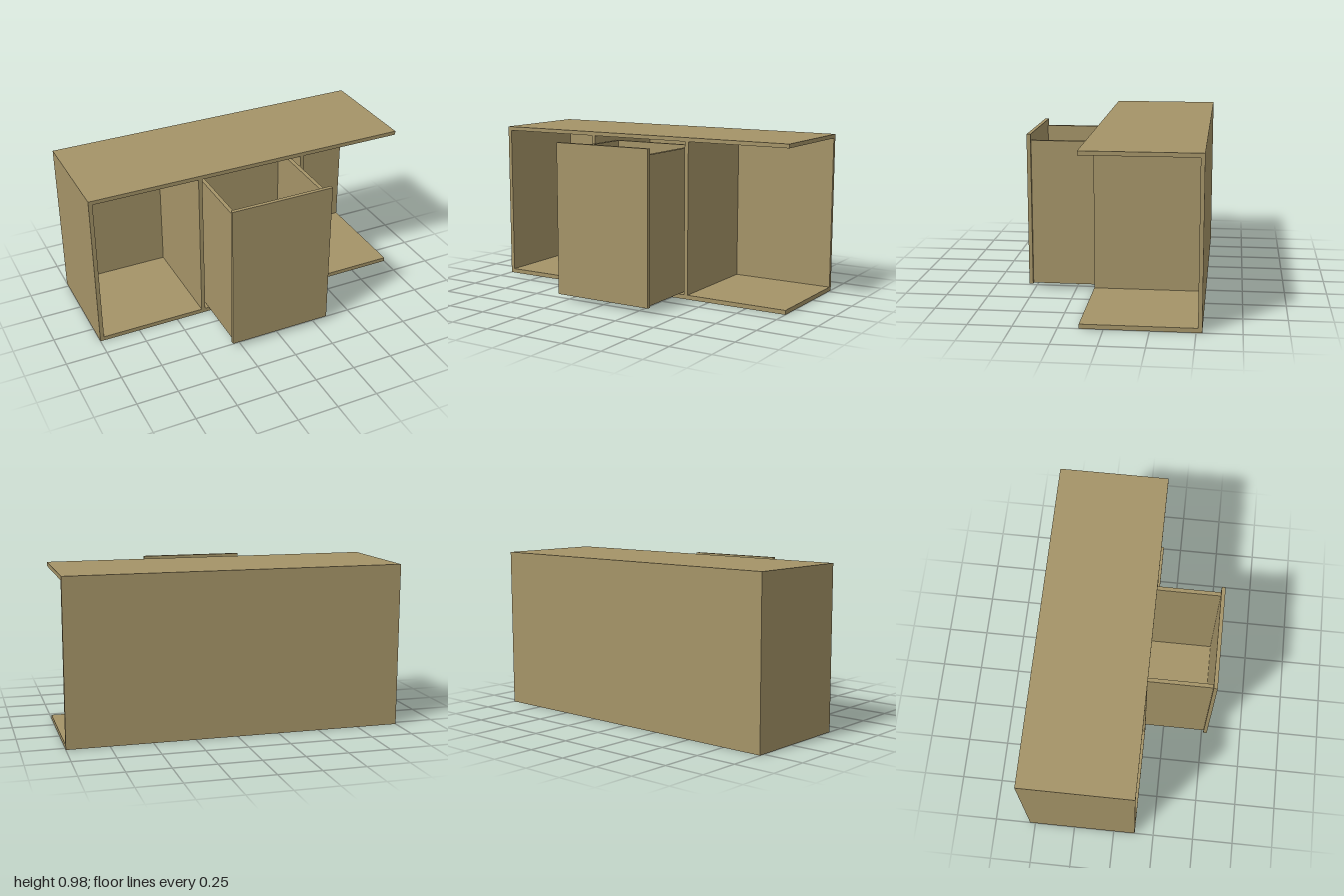
import * as THREE from 'three';

export function createModel() {
  const model = new THREE.Group();
  model.name = 'cabinetWithDrawer';
  const wood = new THREE.MeshStandardMaterial({ color: 0xa59468 });

  // Board given by its extents along each axis
  function board(parent, name, [x0, x1], [y0, y1], [z0, z1]) {
    const mesh = new THREE.Mesh(new THREE.BoxGeometry(x1 - x0, y1 - y0, z1 - z0), wood);
    mesh.position.set((x0 + x1) / 2, (y0 + y1) / 2, (z0 + z1) / 2);
    mesh.name = name;
    parent.add(mesh);
  }

  // Carcass, open at the front and at its left end
  const carcass = new THREE.Group();
  carcass.name = 'carcass';
  const depth = [-0.533, 0.133];
  const inner = [-0.51, 0.133];
  const clear = [0.026, 0.951];
  board(carcass, 'bottomPanel', [-1, 1], [0, 0.026], depth);
  board(carcass, 'topPanel', [-1, 1], [0.951, 0.975], depth);
  board(carcass, 'backPanel', [-1, 1], clear, [-0.533, -0.51]);
  board(carcass, 'rightSide', [-1, -0.976], clear, inner);
  board(carcass, 'rightDivider', [-0.335, -0.311], clear, inner);
  board(carcass, 'leftDivider', [0.332, 0.356], clear, inner);

  // Deep open-topped drawer, pulled out of the middle bay
  const drawer = new THREE.Group();
  drawer.name = 'drawer';
  const height = [0.033, 0.907];
  const run = [-0.088, 0.51];
  board(drawer, 'drawerFront', [-0.306, 0.327], [0.031, 0.946], [0.51, 0.533]);
  board(drawer, 'drawerRightSide', [-0.29, -0.267], height, run);
  board(drawer, 'drawerLeftSide', [0.286, 0.31], height, run);
  board(drawer, 'drawerBack', [-0.267, 0.286], height, [-0.088, -0.065]);
  board(drawer, 'drawerBottom', [-0.267, 0.286], [0.033, 0.056], [-0.065, 0.51]);

  model.add(carcass, drawer);
  return model;
}
